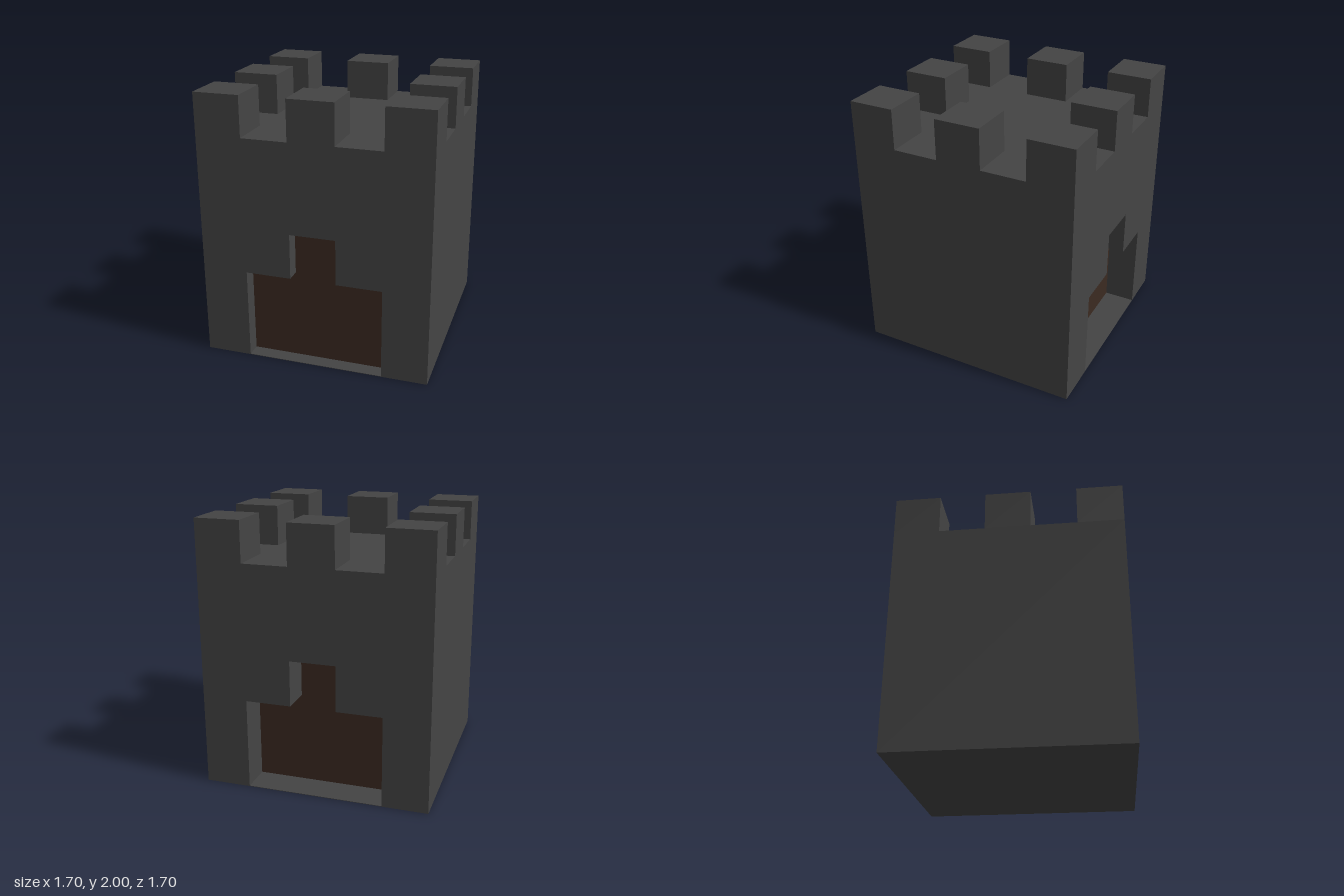
import * as THREE from 'three';

const HALF = 0.85, ROOF = 1.7, UNIT = 0.34, FLOOR = 0.004;
const FRONT_DOOR_Z = 0.74, BACK_DOOR_Z = -0.615;

// Stepped doorway outline, from bottom left to bottom right
const doorway = (y0) => [
  [-0.51, y0], [-0.51, 0.685], [-0.17, 0.685], [-0.17, 1.025],
  [0.17, 1.025], [0.17, 0.685], [0.51, 0.685], [0.51, y0],
];

// Extrude an outline between two depths
function slab(points, z0, z1) {
  const shape = new THREE.Shape(points.map(([x, y]) => new THREE.Vector2(x, y)));
  const geometry = new THREE.ExtrudeGeometry(shape, { depth: z1 - z0, bevelEnabled: false });
  return geometry.translate(0, 0, z0);
}

export function createModel() {
  const tower = new THREE.Group();
  tower.name = 'castleTower';
  const stone = new THREE.MeshStandardMaterial({ color: 0x444444 });
  const wood = new THREE.MeshStandardMaterial({ color: 0x3b2a21 });

  const add = (name, geometry, material) => {
    const mesh = new THREE.Mesh(geometry, material);
    mesh.name = name;
    tower.add(mesh);
    return mesh;
  };

  // Walls and roof, with the doorway cut through from front to back
  const outline = [[-HALF, 0], ...doorway(0), [HALF, 0], [HALF, ROOF], [-HALF, ROOF]];
  add('walls', slab(outline, -HALF, HALF), stone);

  // Thin stone floor under the doorway
  add('doorwayFloor', new THREE.BoxGeometry(1.02, FLOOR, HALF * 2), stone)
    .position.y = FLOOR / 2;

  // Wooden doors, shallow recess in front and deeper one behind
  add('doors', slab(doorway(FLOOR), BACK_DOOR_Z, FRONT_DOOR_Z), wood);

  // Eight battlements around the roof edge
  const block = new THREE.BoxGeometry(UNIT, 2 - ROOF, UNIT);
  for (const i of [-1, 0, 1]) {
    for (const k of [-1, 0, 1]) {
      if (i === 0 && k === 0) continue;
      add('battlement', block, stone)
        .position.set(i * UNIT * 2, (2 + ROOF) / 2, k * UNIT * 2);
    }
  }
  return tower;
}
